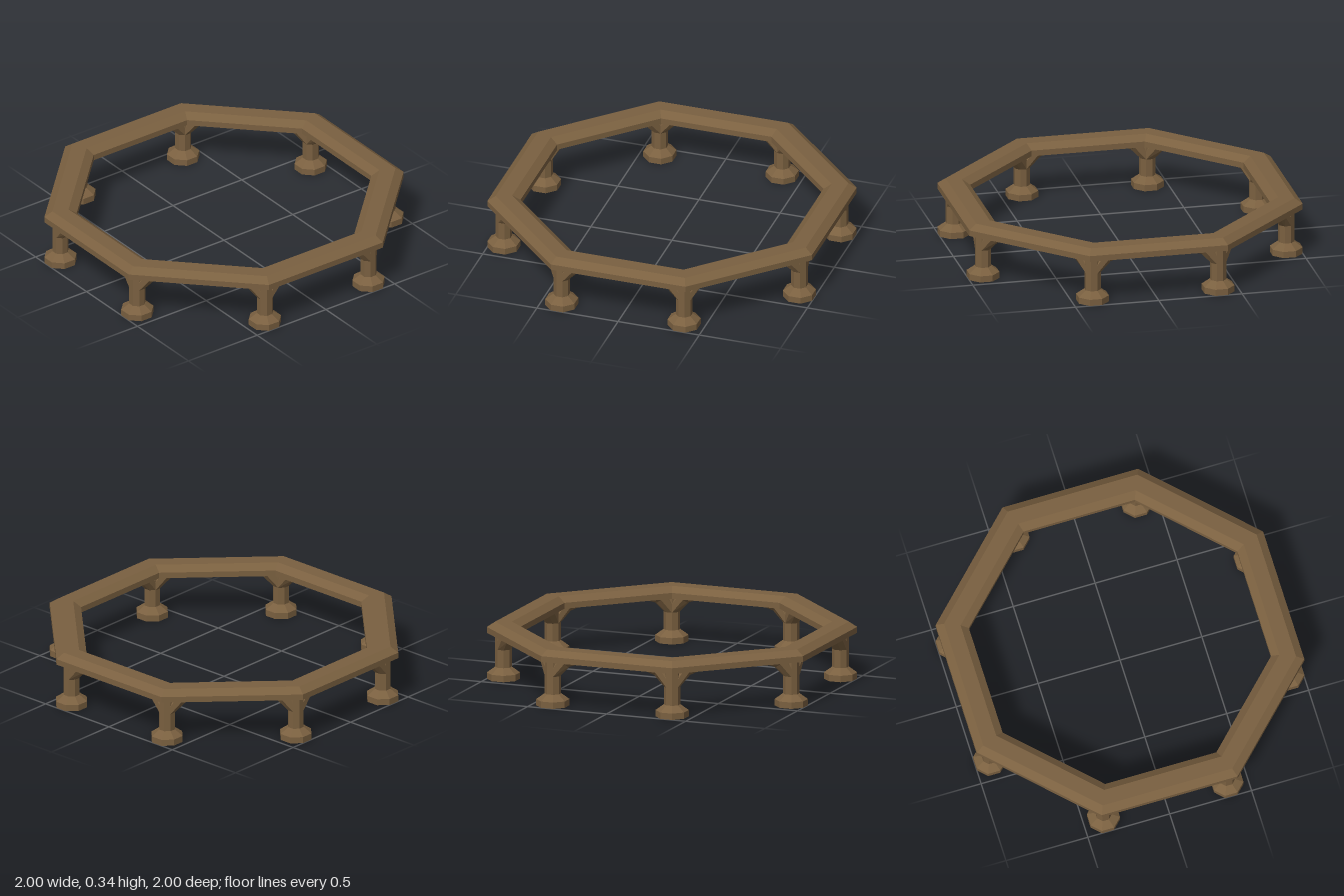
import * as THREE from 'three';

const SIDES = 8;
const STEP = Math.PI / 4;
const HALF = Math.PI / 8;
const COS = Math.cos(HALF); // flat distance -> corner radius

// Facet any geometry so every face is flat
function facet(geometry) {
  const g = geometry.index ? geometry.toNonIndexed() : geometry;
  g.computeVertexNormals();
  return g;
}

// Octagonal solid from a profile of [flat distance, y]
function octagon(profile) {
  const points = profile.map(([r, y]) => new THREE.Vector2(r / COS, y));
  return facet(new THREE.LatheGeometry(points, SIDES, HALF));
}

// Octagonal strut that curves from the column (up) out along the beam (+x)
function bracketGeometry() {
  const r = 0.045;
  // underside point x, y and path angle
  const path = [[r, 0.18, 90], [0.105, 0.242, 40], [0.21, 0.276, 0]];
  const positions = [], index = [];
  path.forEach(([x, y, degrees], i) => {
    const t = THREE.MathUtils.degToRad(degrees);
    const nx = Math.sin(t), ny = -Math.cos(t);
    for (let j = 0; j < SIDES; j++) {
      const a = HALF + j * STEP;
      const out = (r / COS) * Math.cos(a) - r;
      // the top stays hidden inside the beam
      positions.push(x + nx * out, Math.min(y + ny * out, 0.3), (r / COS) * Math.sin(a));
      if (i < path.length - 1) {
        const p = i * SIDES + j, q = i * SIDES + (j + 1) % SIDES;
        index.push(p, p + SIDES, q, q, p + SIDES, q + SIDES);
      }
    }
  });
  const g = new THREE.BufferGeometry();
  g.setAttribute('position', new THREE.Float32BufferAttribute(positions, 3));
  g.setIndex(index);
  return facet(g);
}

export function createModel() {
  const model = new THREE.Group();
  model.name = 'octagonalRailing';
  const wood = new THREE.MeshStandardMaterial({ color: 0x7a6040 });
  wood.name = 'brown wood';

  function add(parent, name, geometry) {
    const mesh = new THREE.Mesh(geometry, wood);
    mesh.name = name;
    parent.add(mesh);
    return mesh;
  }

  // Ring beam with bevelled upper edges
  add(model, 'ringBeam', octagon([
    [0.82, 0.275], [1, 0.275], [1, 0.31], [0.955, 0.342],
    [0.865, 0.342], [0.82, 0.31], [0.82, 0.275],
  ]));

  // A post under each corner, with a bracket along both beams
  const foot = octagon([[0, 0], [0.09, 0], [0.09, 0.038], [0.045, 0.073]]);
  const column = octagon([[0.045, 0.073], [0.045, 0.285]]);
  const bracket = bracketGeometry();
  for (let k = 0; k < SIDES; k++) {
    const phi = HALF + k * STEP;
    const post = new THREE.Group();
    post.name = 'post';
    post.position.set(Math.sin(phi) * 0.91 / COS, 0, Math.cos(phi) * 0.91 / COS);
    add(post, 'foot', foot);
    add(post, 'column', column);
    add(post, 'bracketNext', bracket).rotation.y = phi + HALF;
    add(post, 'bracketPrevious', bracket).rotation.y = phi - HALF + Math.PI;
    model.add(post);
  }
  return model;
}
